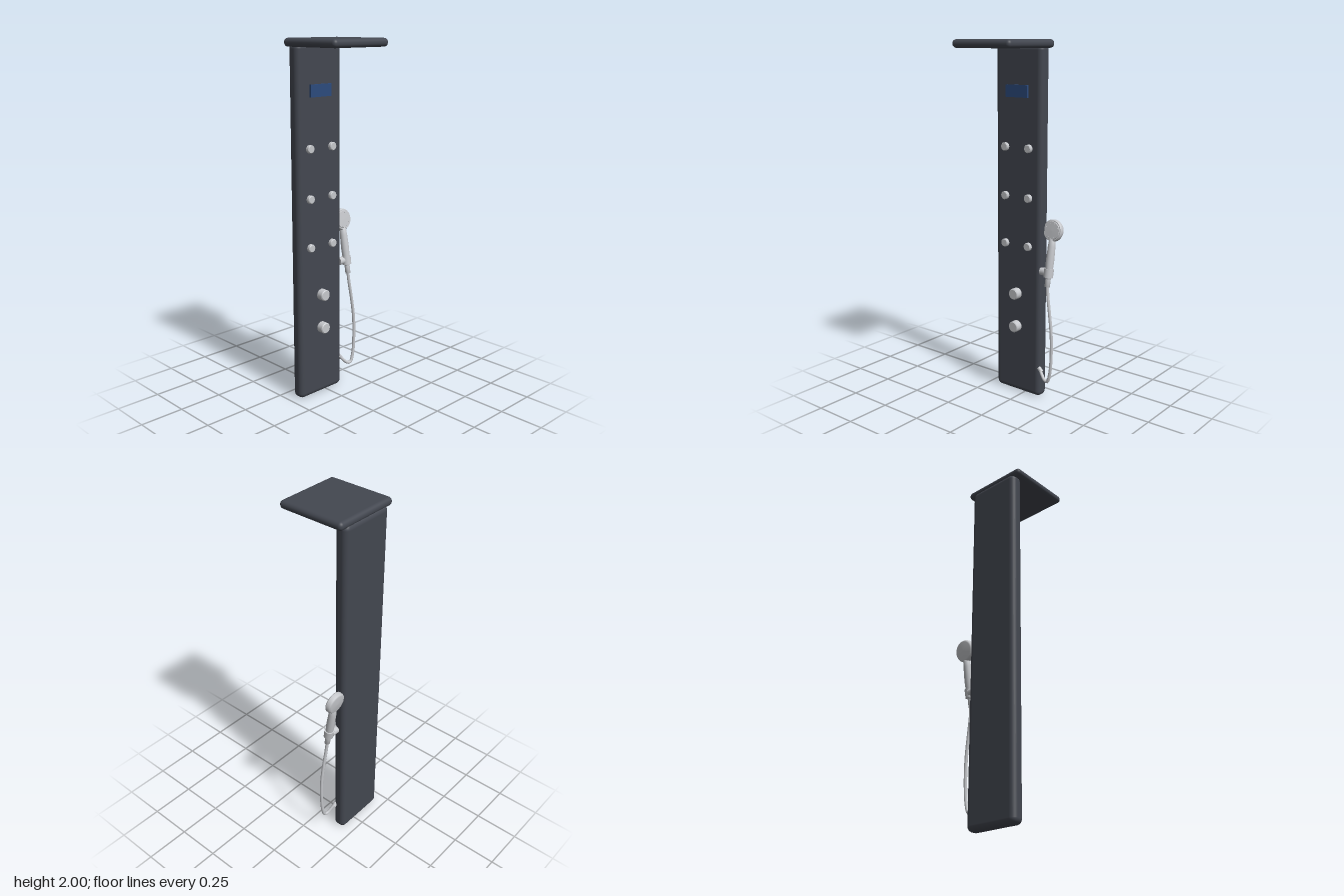
import * as THREE from 'three';
import { RoundedBoxGeometry } from 'three/addons/geometries/RoundedBoxGeometry.js';

const material = (name, color) => {
  const m = new THREE.MeshStandardMaterial({ color });
  m.name = name;
  return m;
};

export function createModel() {
  const group = new THREE.Group();
  const graphite = material('graphite', 0x434750);
  const chrome = material('chrome', 0xc6c8cc);
  const blue = material('display blue', 0x2c4a7c);

  const add = (name, geometry, mat, x, y, z, parent = group) => {
    const mesh = new THREE.Mesh(geometry, mat);
    mesh.name = name;
    mesh.position.set(x, y, z);
    parent.add(mesh);
    return mesh;
  };
  // Cylinder along z with a bevelled front, made from hard-edged rings
  const knobGeometry = (r, depth, sides) => {
    const b = r * 0.15;
    const ring = [[r, 0], [r, depth - b], [r, depth - b], [r - b, depth], [r - b, depth], [0, depth]];
    return new THREE.LatheGeometry(ring.map(p => new THREE.Vector2(...p)), sides).rotateX(Math.PI / 2);
  };

  const panelX = -0.043, panelFront = -0.118;

  // Wall panel and overhead rain shower
  add('panel', new RoundedBoxGeometry(0.315, 1.975, 0.077, 5, 0.03), graphite, panelX, 0.9875, -0.157);
  add('overheadShower', new RoundedBoxGeometry(0.385, 0.044, 0.385, 5, 0.021), graphite, panelX, 1.978, 0.002);

  // Display
  add('display', new THREE.BoxGeometry(0.146, 0.066, 0.014), blue, -0.045, 1.73, -0.113);

  // Body jets and control dials
  for (const y of [1.427, 1.155, 0.883]) {
    for (const side of [-1, 1]) {
      add('bodyJet', knobGeometry(0.023, 0.02, 12), chrome, -0.045 + side * 0.08, y, panelFront);
    }
  }
  for (const y of [0.598, 0.403]) {
    add('controlDial', knobGeometry(0.032, 0.04, 16), chrome, -0.045, y, panelFront);
  }

  // Hand shower, leaning back towards the top
  const hand = new THREE.Group();
  hand.name = 'handShower';
  hand.position.set(0.165, 0.7, -0.122);
  hand.rotation.x = -0.165;
  group.add(hand);

  const handle = [[0, -0.025], [0.015, -0.025], [0.015, 0.02], [0.015, 0.02], [0.019, 0.03],
    [0.023, 0.12], [0.021, 0.2], [0.017, 0.25], [0, 0.255]];
  add('handle', new THREE.LatheGeometry(handle.map(p => new THREE.Vector2(...p)), 20), chrome, 0, 0, 0, hand);

  const head = [[0, -0.022], [0.05, -0.02], [0.057, -0.015], [0.061, -0.007], [0.061, 0.008],
    [0.061, 0.008], [0.056, 0.014], [0.056, 0.014], [0.05, 0.014], [0.05, 0.014],
    [0.048, 0.017], [0.048, 0.017], [0, 0.018]];
  add('sprayHead', new THREE.LatheGeometry(head.map(p => new THREE.Vector2(...p)), 32)
    .rotateX(Math.PI / 2), chrome, 0, 0.289, 0, hand);
  // Small nozzles around the spray face
  for (let i = 0; i < 8; i++) {
    const a = (i + 0.5) * Math.PI / 4;
    add('nozzle', new THREE.CylinderGeometry(0.003, 0.003, 0.004, 8).rotateX(Math.PI / 2),
      chrome, Math.cos(a) * 0.04, 0.289 + Math.sin(a) * 0.04, 0.018, hand);
  }

  // Holder clamped round the handle, with an arm to the panel
  add('holderClamp', new THREE.CylinderGeometry(0.027, 0.026, 0.048, 20), chrome, 0, 0.052, 0, hand);
  add('holderArm', new THREE.CylinderGeometry(0.022, 0.022, 0.05, 16)
    .rotateZ(Math.PI / 2), chrome, 0.134, 0.752, -0.138);

  // Hose
  const hosePath = new THREE.CatmullRomCurve3([
    [0.165, 0.69, -0.12], [0.172, 0.62, -0.116], [0.188, 0.52, -0.112], [0.203, 0.4, -0.109],
    [0.205, 0.28, -0.108], [0.196, 0.17, -0.108], [0.178, 0.12, -0.11], [0.155, 0.123, -0.115],
    [0.108, 0.172, -0.132],
  ].map(p => new THREE.Vector3(...p)));
  add('hose', new THREE.TubeGeometry(hosePath, 64, 0.009, 10), chrome, 0, 0, 0);
  add('hoseOutlet', new THREE.CylinderGeometry(0.012, 0.012, 0.03, 12)
    .rotateZ(0.8), chrome, 0.112, 0.168, -0.132);

  return group;
}
